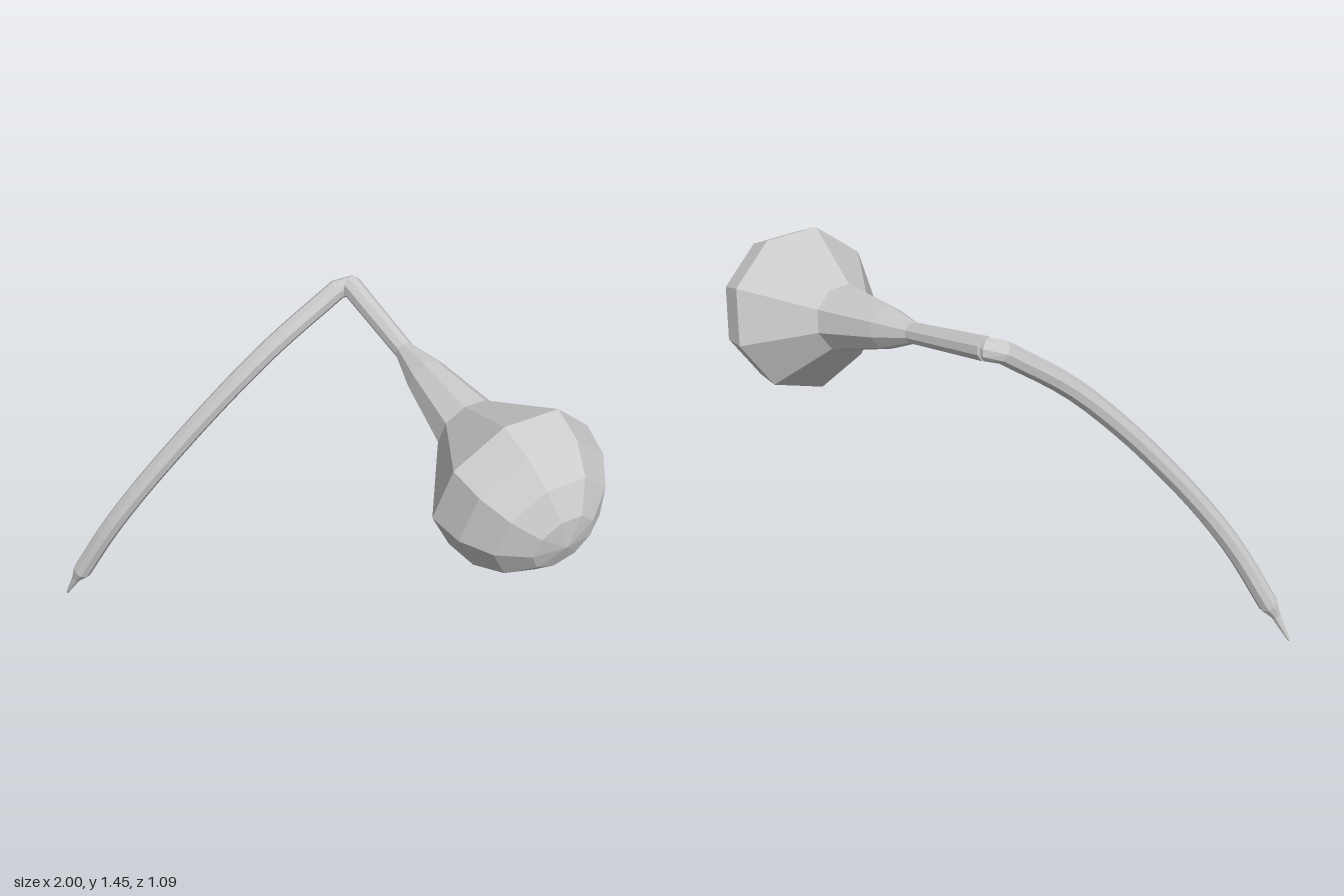
import * as THREE from 'three';

const SIDES = 9;
const V = (x, y, z) => new THREE.Vector3(x, y, z);

// Sweeps a ring along stations, carrying the frame forward without twist
function sweep(points, radii) {
  const pos = [], index = [];
  const last = points.length - 1;
  const normal = V(1, 0, 0);
  points.forEach((p, i) => {
    const tangent = points[Math.min(i + 1, last)].clone().sub(points[Math.max(i - 1, 0)]).normalize();
    normal.addScaledVector(tangent, -normal.dot(tangent)).normalize();
    const binormal = tangent.clone().cross(normal);
    for (let j = 0; j < SIDES; j++) {
      const a = (j / SIDES) * Math.PI * 2;
      const v = p.clone()
        .addScaledVector(normal, Math.cos(a) * radii[i])
        .addScaledVector(binormal, Math.sin(a) * radii[i]);
      pos.push(v.x, v.y, v.z);
      if (i < last) {
        const k = i * SIDES, n = (j + 1) % SIDES;
        index.push(k + j, k + n, k + SIDES + j, k + n, k + SIDES + n, k + SIDES + j);
      }
    }
  });
  // End caps
  for (let j = 1; j < SIDES - 1; j++) {
    const k = last * SIDES;
    index.push(0, j + 1, j, k, k + j, k + j + 1);
  }
  const g = new THREE.BufferGeometry();
  g.setAttribute('position', new THREE.Float32BufferAttribute(pos, 3));
  g.setIndex(index);
  g.computeVertexNormals();
  return g;
}

export function createModel() {
  const group = new THREE.Group();
  const material = new THREE.MeshStandardMaterial({ color: 0xcccccc, flatShading: true });
  const joint = V(-0.32, 1.4, -0.435);
  const axis = V(1.01, -0.23, 0.185).normalize();

  // Bulb: thin neck flaring into a faceted dome
  const profile = [[0, 0], [0.04, 0], [0.036, 0.384], [0.075, 0.53], [0.119, 0.795]];
  for (let i = 0; i <= 4; i++) {
    const a = (i / 4) * Math.PI / 2;
    profile.push([i === 4 ? 0 : 0.3 * Math.cos(a), 1.052 + 0.31 * Math.sin(a)]);
  }
  const bulb = new THREE.Mesh(
    new THREE.LatheGeometry(profile.map(([r, t]) => new THREE.Vector2(r, t)), SIDES), material);
  bulb.name = 'bulb';
  const down = V(0, -1, 0).addScaledVector(axis, axis.y).normalize();
  const side = axis.clone().cross(down);
  bulb.quaternion.setFromRotationMatrix(new THREE.Matrix4().makeBasis(side, axis, down));
  bulb.position.copy(joint);
  group.add(bulb);

  // Stem: curved rod with a pointed foot and a bevelled elbow into the neck
  const curve = new THREE.CatmullRomCurve3([
    V(-0.915, 0.155, 0.5), V(-0.802, 0.4, 0.41), V(-0.71, 0.6, 0.303), V(-0.618, 0.8, 0.17),
    V(-0.527, 1.0, 0.018), V(-0.435, 1.2, -0.165), V(-0.348, 1.385, -0.395),
  ]);
  const rod = curve.getSpacedPoints(20);
  const points = [V(-1, 0, 0.54), V(-0.943, 0.105, 0.517), ...rod, joint,
    joint.clone().addScaledVector(axis, 0.06)];
  const radii = [0.005, 0.018, ...rod.map(() => 0.038), 0.038, 0.03];
  const stem = new THREE.Mesh(sweep(points, radii), material);
  stem.name = 'stem';
  group.add(stem);

  return group;
}
